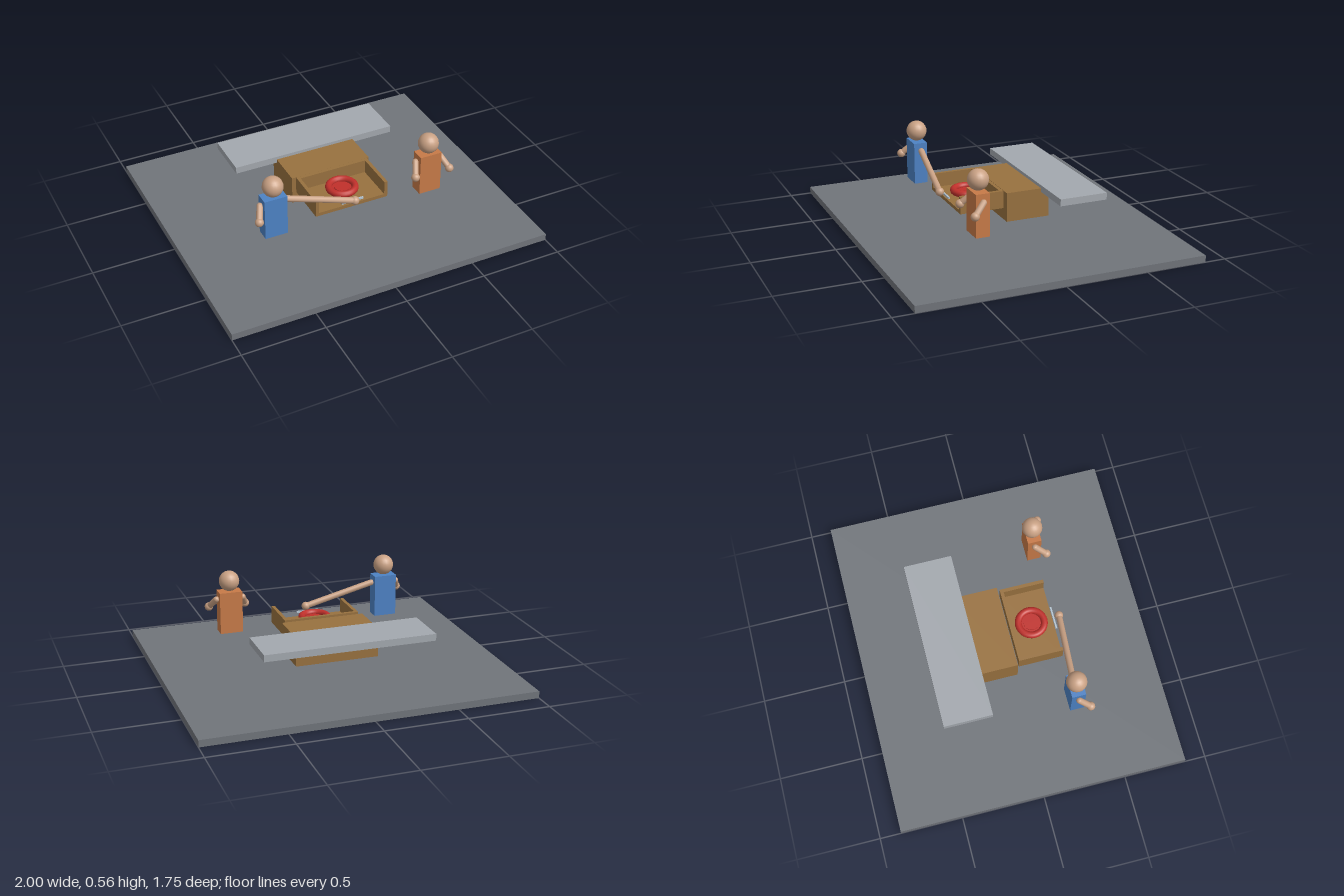
import * as THREE from 'three';

const mat = (name, color) => {
  const m = new THREE.MeshStandardMaterial({ color });
  m.name = name;
  return m;
};

export function createModel() {
  const root = new THREE.Group();
  root.name = 'kitchenScene';
  const floorGrey = mat('floorGrey', 0x70747a);
  const slabGrey = mat('slabGrey', 0xa3a8ae);
  const wood = mat('wood', 0x98713f);
  const red = mat('red', 0xc0302b);
  const skin = mat('skin', 0xc9a184);
  const blue = mat('blueShirt', 0x4d82c4);
  const orange = mat('orangeShirt', 0xc77a48);
  const metal = mat('handleMetal', 0xb4c4d0);

  const add = (parent, name, geometry, material, x = 0, y = 0, z = 0) => {
    const mesh = new THREE.Mesh(geometry, material);
    mesh.name = name;
    mesh.position.set(x, y, z);
    parent.add(mesh);
    return mesh;
  };
  // Box given by its lower and upper corners
  const box = (parent, name, material, [x0, y0, z0], [x1, y1, z1]) =>
    add(parent, name, new THREE.BoxGeometry(x1 - x0, y1 - y0, z1 - z0), material,
      (x0 + x1) / 2, (y0 + y1) / 2, (z0 + z1) / 2);

  // Floor, cabinet and counter slab
  box(root, 'floor', floorGrey, [-1, 0, -0.873], [1, 0.042, 0.873]);
  box(root, 'cabinet', wood, [-0.255, 0.117, -0.24], [0.255, 0.295, 0.03]);
  box(root, 'counterSlab', slabGrey, [-0.52, 0.272, -0.486], [0.52, 0.314, -0.19]);

  // Pulled-out drawer, open at the front
  const drawer = new THREE.Group();
  drawer.name = 'drawer';
  root.add(drawer);
  box(drawer, 'drawerBottom', wood, [-0.234, 0.198, 0.042], [0.234, 0.219, 0.314]);
  box(drawer, 'drawerBack', wood, [-0.213, 0.219, 0.042], [0.213, 0.304, 0.063]);
  for (const s of [-1, 1]) {
    const wall = box(drawer, 'drawerSide', wood, [0.213, 0.219, 0.042], [0.234, 0.304, 0.314]);
    wall.position.x *= s;
  }
  box(drawer, 'drawerHandle', metal, [-0.07, 0.238, 0.314], [0.07, 0.25, 0.324]);

  // Round red dish lying in the drawer
  const dish = new THREE.Group();
  dish.name = 'dish';
  dish.position.set(0, 0.254, 0.18);
  root.add(dish);
  add(dish, 'dishRim', new THREE.TorusGeometry(0.079, 0.021, 12, 32).rotateX(Math.PI / 2), red);
  add(dish, 'dishBase', new THREE.CylinderGeometry(0.065, 0.065, 0.02, 32), red, 0, -0.015);
  add(dish, 'dishCentre', new THREE.CylinderGeometry(0.046, 0.046, 0.01, 32), red, 0, -0.003);

  // Arm from shoulder to hand, with a round hand at the end
  const arm = (parent, from, to) => {
    const a = new THREE.Vector3(...from), b = new THREE.Vector3(...to);
    const dir = b.clone().sub(a);
    const limb = add(parent, 'arm', new THREE.CapsuleGeometry(0.019, dir.length(), 4, 12), skin);
    limb.position.copy(a).add(b).multiplyScalar(0.5);
    limb.quaternion.setFromUnitVectors(new THREE.Vector3(0, 1, 0), dir.normalize());
    add(parent, 'hand', new THREE.SphereGeometry(0.026, 16, 12), skin, ...to);
  };
  const person = (name, x, shirt, hands) => {
    const g = new THREE.Group();
    g.name = name;
    g.position.set(x, 0, 0.312);
    root.add(g);
    box(g, 'torso', shirt, [-0.07, 0.177, -0.042], [0.07, 0.435, 0.042]);
    add(g, 'head', new THREE.SphereGeometry(0.062, 20, 14), skin, 0, 0.498, 0);
    for (const hand of hands) arm(g, [Math.sign(hand[0]) * 0.082, 0.388, 0], hand);
  };
  person('reachingPerson', -0.5, blue, [[-0.114, 0.325, 0.064], [0.5, 0.266, 0.04]]);
  person('standingPerson', 0.5, orange, [[-0.114, 0.325, 0.064], [0.114, 0.325, 0.064]]);

  return root;
}
